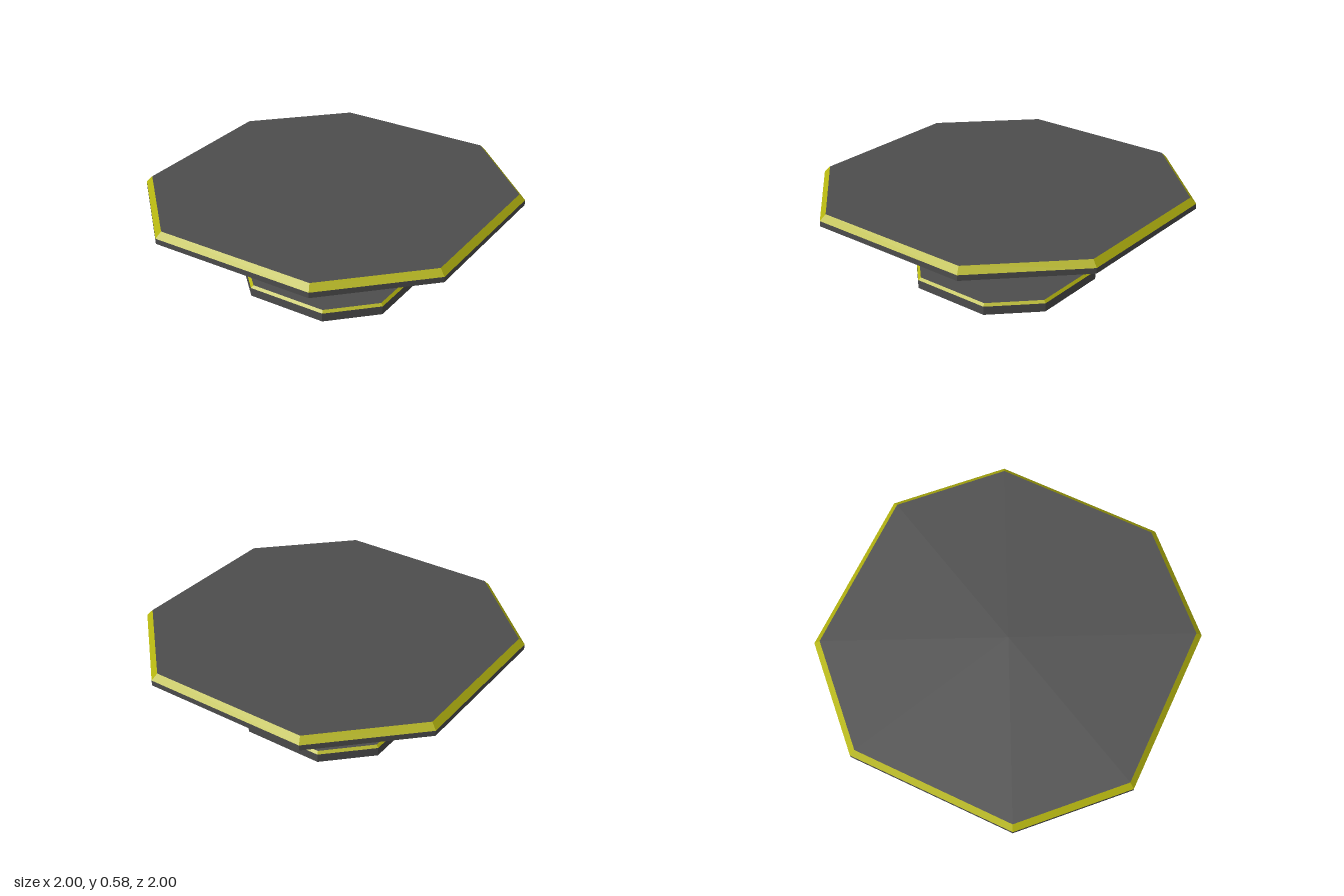
import * as THREE from 'three';

const paint = (color) => new THREE.MeshStandardMaterial({ color, flatShading: true });

// Eight-sided solid from a [halfWidth, y] profile; each short side is half the width.
function octagon(name, material, profile) {
  const points = profile.map(([r, y]) => new THREE.Vector2(r / Math.cos(Math.PI / 8), y));
  const geometry = new THREE.LatheGeometry(points, 8, Math.PI / 8);
  const p = geometry.attributes.position;
  for (let i = 0; i < p.count; i++) {
    const x = p.getX(i), z = p.getZ(i);
    if (Math.abs(x) > Math.abs(z)) p.setZ(i, Math.sign(z) * Math.abs(x) / 2);
    else p.setX(i, Math.sign(x) * Math.abs(z) / 2);
  }
  geometry.computeVertexNormals();
  const mesh = new THREE.Mesh(geometry, material);
  mesh.name = name;
  return mesh;
}

export function createModel() {
  const model = new THREE.Group();
  model.name = 'pedestalTable';
  const grey = paint(0x4d4d4d), yellow = paint(0xb3b310), red = paint(0x801010);

  // Slab with a coloured bevel around its upper edge
  const slab = (name, r, inset, y0, y1, y2) => {
    const group = new THREE.Group();
    group.name = name;
    group.add(
      octagon(name + 'Body', grey, [[0, y0], [r, y0], [r, y1]]),
      octagon(name + 'Trim', yellow, [[r, y1], [inset, y2]]),
      octagon(name + 'Surface', grey, [[inset, y2], [0, y2]])
    );
    return group;
  };

  model.add(slab('base', 0.5, 0.485, 0, 0.053, 0.067));
  model.add(octagon('column', red, [[0.15, 0.067], [0.15, 0.518]]));
  model.add(slab('tabletop', 1, 0.968, 0.518, 0.55, 0.585));
  return model;
}
